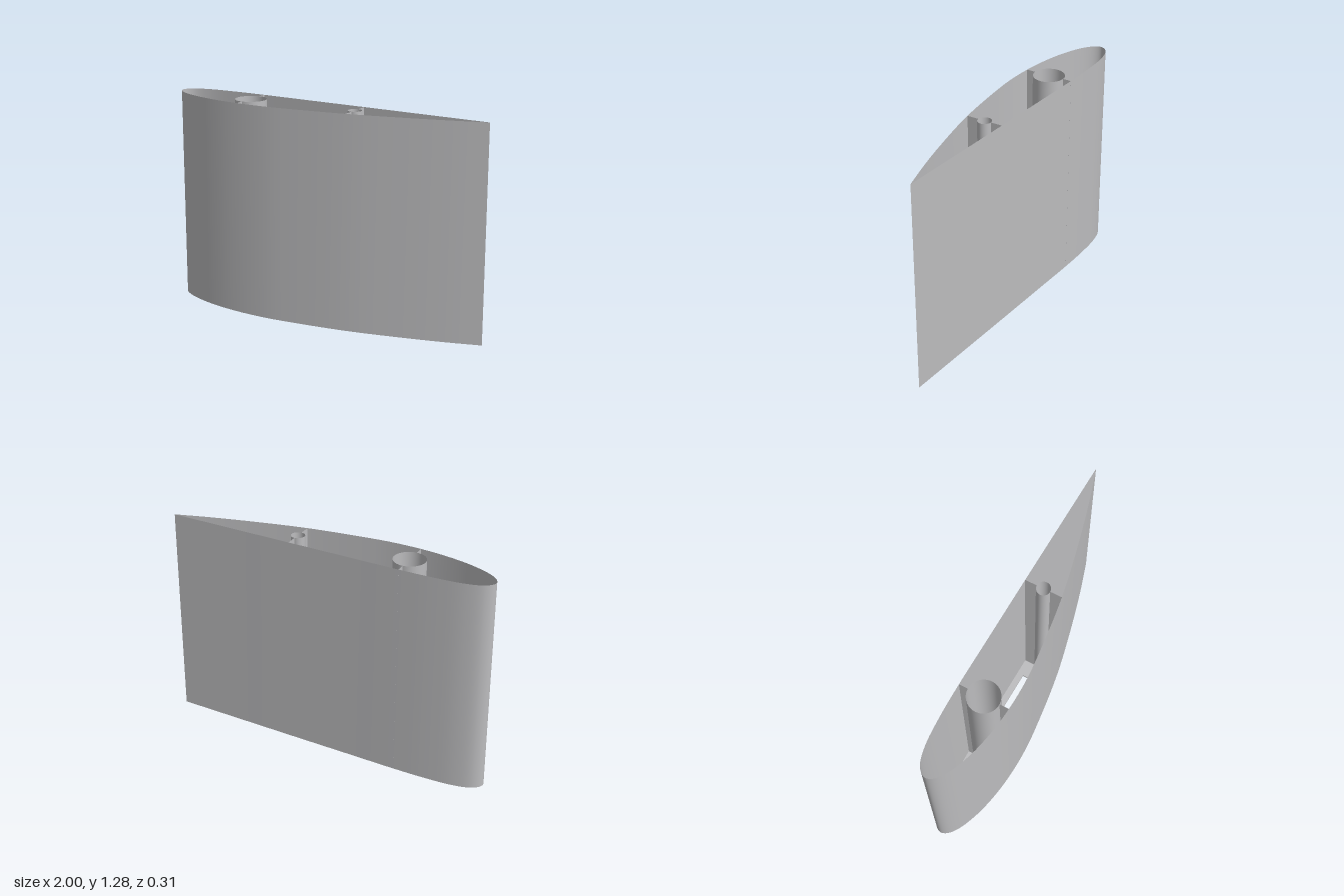
import * as THREE from 'three';

const HEIGHT = 1.28;
const RIB = 0.015;

// Section outline as (x, z): trailing edge, along the back, round the nose, along the front
const OUTLINE = [
  [1, -0.075], [0.6, -0.096], [0.22, -0.116], [-0.18, -0.136], [-0.48, -0.151], [-0.68, -0.155],
  [-0.85, -0.147], [-0.95, -0.122], [-0.99, -0.09], [-1, -0.062], [-0.985, -0.025], [-0.93, 0.022],
  [-0.8, 0.08], [-0.64, 0.122], [-0.48, 0.145], [-0.3, 0.153], [-0.13, 0.144], [0.22, 0.106],
  [0.54, 0.044], [0.8, -0.018], [1, -0.075],
];

// Lightening holes in the rib as (x, z)
const HOLES = [
  [[-0.84, -0.108], [-0.78, -0.117], [-0.572, -0.118], [-0.572, 0.092], [-0.7, 0.068], [-0.84, 0.018]],
  [[-0.378, -0.108], [0.12, -0.083], [0.12, 0.08], [0, 0.098], [-0.15, 0.111], [-0.28, 0.116], [-0.378, 0.113]],
  [[0.31, -0.07], [0.59, -0.053], [0.59, -0.004], [0.45, 0.026], [0.31, 0.053]],
];

// Spar tubes with the z of the skin behind and in front of them
const SPARS = [
  { name: 'mainSpar', x: -0.475, z: -0.004, r: 0.094, back: -0.151, front: 0.145 },
  { name: 'rearSpar', x: 0.216, z: -0.005, r: 0.041, back: -0.116, front: 0.106 },
];

export function createModel() {
  const group = new THREE.Group();
  const grey = new THREE.MeshStandardMaterial({ color: 0xbcbcbe, side: THREE.DoubleSide });
  grey.name = 'light grey';
  const add = (name, geometry) => {
    const mesh = new THREE.Mesh(geometry, grey);
    mesh.name = name;
    group.add(mesh);
    return mesh;
  };

  const curve = new THREE.CatmullRomCurve3(OUTLINE.map(([x, z]) => new THREE.Vector3(x, 0, z)));
  const points = curve.getPoints(120);

  // Upright wall following a row of points
  const wall = (row) => {
    const n = row.length - 1;
    const geometry = new THREE.PlaneGeometry(1, HEIGHT, n, 1);
    const pos = geometry.attributes.position;
    for (let i = 0; i < pos.count; i++) {
      const p = row[i % (n + 1)];
      pos.setXYZ(i, p.x, pos.getY(i) + HEIGHT / 2, p.z);
    }
    geometry.computeVertexNormals();
    return geometry;
  };

  // Thin outer skin
  add('skin', wall(points));

  // Bottom rib with lightening holes and spar holes
  const shape = new THREE.Shape(points.slice(0, -1).map((p) => new THREE.Vector2(p.x, -p.z)));
  for (const hole of HOLES) {
    shape.holes.push(new THREE.Path(hole.map(([x, z]) => new THREE.Vector2(x, -z))));
  }
  for (const s of SPARS) {
    shape.holes.push(new THREE.Path().absarc(s.x, -s.z, s.r, 0, Math.PI * 2, true));
  }
  const rib = new THREE.ExtrudeGeometry(shape, { depth: RIB, bevelEnabled: false, curveSegments: 24 });
  add('rib', rib.rotateX(-Math.PI / 2));

  // Open spar tubes, each joined to the skin by a web on either side
  for (const s of SPARS) {
    const tube = add(s.name + 'Tube', new THREE.CylinderGeometry(s.r, s.r, HEIGHT, 48, 1, true));
    tube.position.set(s.x, HEIGHT / 2, s.z);
    const web = (name, z0, z1) =>
      add(name, wall([new THREE.Vector3(s.x, 0, z0), new THREE.Vector3(s.x, 0, z1)]));
    web(s.name + 'BackWeb', s.back, s.z - s.r);
    web(s.name + 'FrontWeb', s.z + s.r, s.front);
  }

  return group;
}
